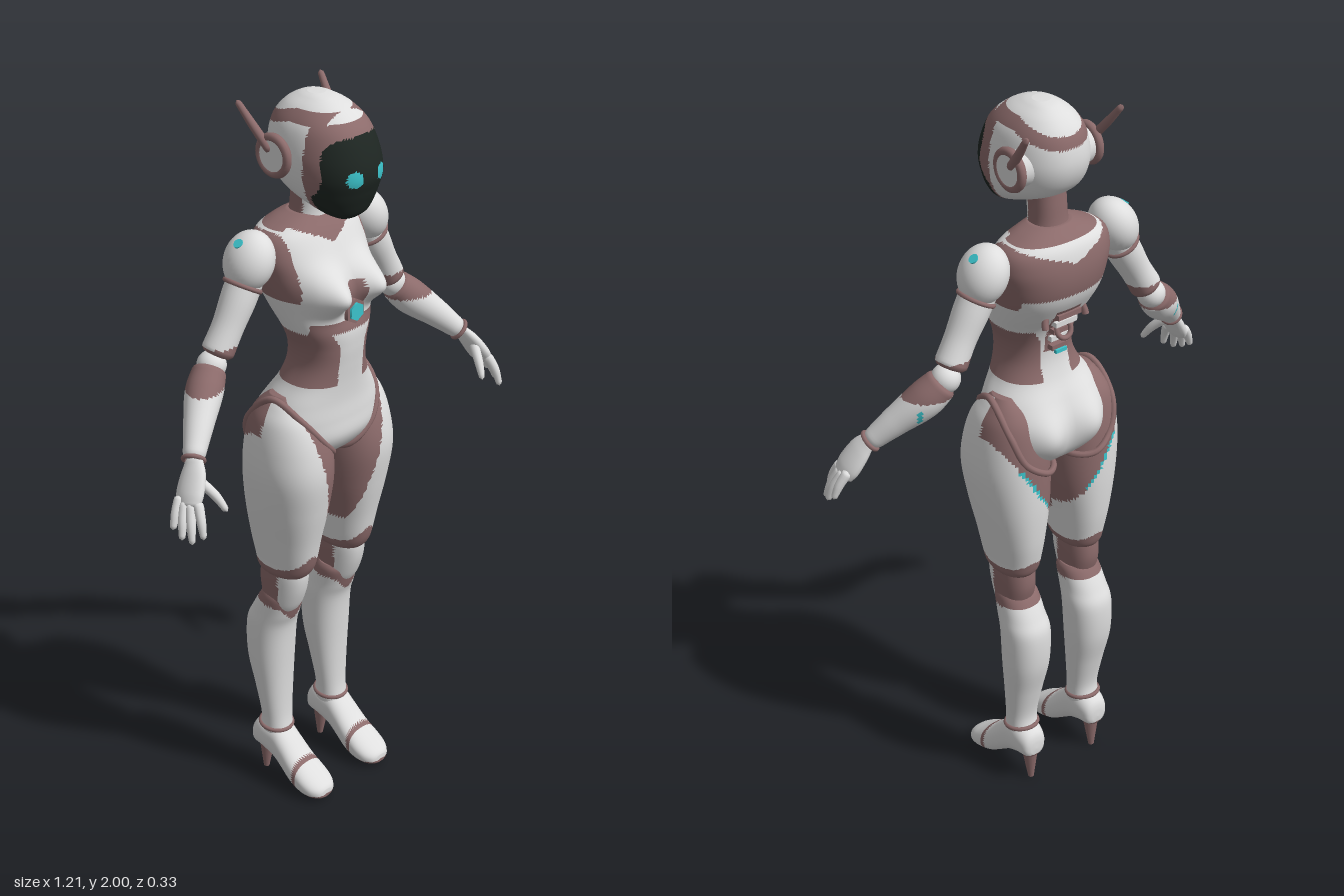
import * as THREE from 'three';

const V = (x, y, z) => new THREE.Vector3(x, y, z);
const material = (name, color) => Object.assign(new THREE.MeshStandardMaterial({ color }), { name });
const MATS = [
  material('white shell', 0xdedede), material('dusty brown', 0x8c6b6b),
  material('dark visor', 0x1e2622), material('cyan light', 0x3cc4cc),
];
const WHITE = 0, BROWN = 1, DARK = 2, CYAN = 3;
const bump = (d, w) => Math.exp(-(d * d) / (w * w));

// Closed skin of rings; paint(point) picks the material of each triangle
function skin(point, nu, nv, paint) {
  const pts = [], sets = MATS.map(() => []);
  for (let j = 0; j <= nv; j++)
    for (let i = 0; i < nu; i++) pts.push(point((i / nu) * Math.PI * 2, j / nv));
  const tri = (a, b, c) => {
    const mid = V(0, 0, 0).add(pts[a]).add(pts[b]).add(pts[c]).divideScalar(3);
    sets[typeof paint === 'function' ? paint(mid) : paint].push(a, b, c);
  };
  for (let j = 0; j < nv; j++)
    for (let i = 0; i < nu; i++) {
      const k = (i + 1) % nu, a = j * nu + i, b = j * nu + k, c = a + nu, d = b + nu;
      tri(a, c, b);
      tri(b, c, d);
    }
  const geo = new THREE.BufferGeometry().setFromPoints(pts);
  geo.setIndex(sets.flat());
  let start = 0;
  sets.forEach((s, m) => { if (s.length) geo.addGroup(start, s.length, m); start += s.length; });
  geo.computeVertexNormals();
  return geo;
}

// Smooth interpolation through rows of numbers
function sample(rows, v) {
  const n = rows.length - 1, s = v * n, i = Math.min(Math.floor(s), n - 1), t = s - i;
  const r = (k) => rows[Math.max(0, Math.min(n, k))];
  return rows[i].map((b, k) => {
    const a = r(i - 1)[k], c = r(i + 1)[k], d = r(i + 2)[k];
    return b + 0.5 * t * (c - a + t * (2 * a - 5 * b + 4 * c - d + t * (3 * (b - c) + d - a)));
  });
}

// Loft of rounded sections; row = [position, pMin, pMax, qMin, qMax]
function loft(rows, nu, nv, paint, place = (p, q, t) => V(p, t, q), power = 0.9) {
  const soft = (w) => Math.sign(w) * Math.abs(w) ** power;
  return skin((a, v) => {
    const [t, p0, p1, q0, q1] = sample(rows, v);
    const k = v === 0 || v === 1 ? 0 : 0.5;
    return place((p0 + p1) / 2 + (p1 - p0) * k * soft(Math.sin(a)),
      (q0 + q1) / 2 + (q1 - q0) * k * soft(Math.cos(a)), t);
  }, nu, nv, paint);
}

// Round-ended limb along a path of [x, y, z, radius]
function limb(path, paint, flat = 1, nu = 20, nv = 24, round = 0.08) {
  const curve = new THREE.CatmullRomCurve3(path.map((p) => V(...p)));
  return skin((a, v) => {
    const T = curve.getTangent(v), A = V(0, 0, 1).cross(T).normalize(), B = T.clone().cross(A);
    const e = Math.min(1, v / round, (1 - v) / round);
    const r = sample(path.map((p) => [p[3]]), v)[0] * Math.sqrt(Math.max(0, 1 - (1 - e) ** 2));
    return curve.getPoint(v).addScaledVector(B, r * Math.cos(a)).addScaledVector(A, r * flat * Math.sin(a));
  }, nu, nv, paint);
}

function mirrored(geo) {
  const g = geo.clone().scale(-1, 1, 1), ix = g.index.array;
  for (let i = 0; i < ix.length; i += 3) [ix[i], ix[i + 1]] = [ix[i + 1], ix[i]];
  return g;
}

export function createModel() {
  const model = new THREE.Group();
  const add = (name, geo, mat = MATS) => {
    const m = new THREE.Mesh(geo, mat);
    m.name = name;
    model.add(m);
  };
  const pair = (name, geo, mat = MATS) => {
    add(name + 'Left', geo, mat);
    add(name + 'Right', mirrored(geo), mat);
  };

  // Head with visor, eyes and side bands
  add('head', loft([
    [2, -0.02, 0.02, -0.035, 0.005], [1.992, -0.04, 0.04, -0.065, 0.04], [1.97, -0.072, 0.072, -0.1, 0.085],
    [1.93, -0.1, 0.1, -0.13, 0.13], [1.87, -0.115, 0.115, -0.141, 0.158], [1.82, -0.115, 0.115, -0.13, 0.167],
    [1.78, -0.106, 0.106, -0.1, 0.157], [1.75, -0.09, 0.09, -0.045, 0.146], [1.72, -0.062, 0.062, 0.03, 0.132],
    [1.705, -0.035, 0.035, 0.07, 0.115]], 96, 90, (p) => {
    const x = Math.abs(p.x), frame = (w, h) => (x / w) ** 4 + ((p.y - 1.81) / h) ** 4 < 1;
    if (p.z > 0.06 && frame(0.102, 0.113)) {
      return Math.hypot(x - 0.045, p.y - 1.825) < 0.021 ? CYAN : DARK;
    }
    if (p.z > 0.045 && frame(0.125, 0.143)) return BROWN;
    return p.z < 0.08 && Math.abs(p.y - 1.958 + 0.3 * Math.max(0, -p.z - 0.02)) < 0.014 ? BROWN : WHITE;
  }));
  const ear = (r0, r1, h, x) => new THREE.CylinderGeometry(r0, r1, h, 32).rotateZ(-Math.PI / 2).translate(x, 1.857, -0.045);
  pair('earPad', ear(0.042, 0.052, 0.045, 0.108), MATS[WHITE]);
  pair('earRing', new THREE.TorusGeometry(0.046, 0.012, 10, 36).rotateY(Math.PI / 2).translate(0.121, 1.857, -0.045), MATS[BROWN]);
  pair('antenna', limb([[0.124, 1.865, -0.05, 0.012], [0.136, 1.925, -0.1, 0.011], [0.148, 1.982, -0.143, 0.008]], BROWN));
  add('neck', loft([[1.79, -0.05, 0.05, -0.08, 0.02], [1.74, -0.048, 0.048, -0.085, 0.012],
    [1.69, -0.05, 0.05, -0.09, 0.008], [1.65, -0.06, 0.06, -0.1, 0.012]], 40, 20, (p) => (p.z < -0.02 ? BROWN : WHITE)));

  // Torso and pelvis
  const torsoRows = [
    [1.69, 0.05, -0.09, 0], [1.672, 0.1, -0.12, 0.015], [1.645, 0.15, -0.145, 0.035], [1.6, 0.165, -0.157, 0.06],
    [1.55, 0.16, -0.157, 0.083], [1.5, 0.15, -0.145, 0.095], [1.45, 0.135, -0.118, 0.1], [1.4, 0.118, -0.088, 0.115],
    [1.35, 0.1, -0.075, 0.115], [1.3, 0.1, -0.075, 0.11], [1.25, 0.12, -0.088, 0.105], [1.2, 0.153, -0.11, 0.103],
    [1.15, 0.173, -0.125, 0.106], [1.1, 0.168, -0.13, 0.107], [1.06, 0.15, -0.125, 0.085], [1.03, 0.12, -0.11, 0.05],
    [1.01, 0.07, -0.09, 0.01]].map(([y, w, b, f]) => [y, -w, w, b, f]);
  const torsoPaint = (p) => {
    const x = Math.abs(p.x), { y, z } = p;
    if (y < 1.25) return WHITE;
    if (y < 1.4) return x > 0.045 + 0.6 * Math.max(0, y - 1.36) || (z < 0 && x < 0.035 && y > 1.33) ? BROWN : WHITE;
    if (x > 0.13 && y > 1.49 && y < 1.655) return BROWN;
    if (z > -0.02) {
      const collar = y > 1.622 + 0.45 * x;
      const sternum = x < 0.03 && y < 1.53;
      const underBust = y < 1.428 && x < 0.11;
      return collar || sternum || underBust ? BROWN : WHITE;
    }
    if (y > 1.66 || (x < 0.04 && y < 1.47)) return BROWN;
    return y > 1.52 && y < 1.61 + 0.35 * x ? BROWN : WHITE;
  };
  add('torso', loft(torsoRows, 108, 120, torsoPaint, (x, z, y) => {
    const ax = Math.abs(x), bust = 0.072 * bump(ax - 0.07, 0.05) * bump(y - 1.508, 0.05);
    const seat = 0.036 * bump(ax - 0.075, 0.06) * bump(y - 1.115, 0.07);
    const front = Math.min(1, Math.max(0, z / 0.06)), back = Math.min(1, Math.max(0, (-z - 0.03) / 0.06));
    return V(x, y, z + bust * front - seat * back);
  }, 0.87));
  const hex = (r, h, z) => new THREE.CylinderGeometry(r, r, h, 6).rotateX(Math.PI / 2).translate(0, 1.45, z);
  add('chestGemMount', hex(0.034, 0.035, 0.102), MATS[BROWN]);
  add('chestGem', hex(0.025, 0.012, 0.119), MATS[CYAN]);

  // Exposed spine
  for (let i = 0; i < 5; i++) {
    const y = 1.345 + i * 0.027, z = -0.076 - Math.max(0, i - 1) * 0.013;
    add('vertebra', new THREE.BoxGeometry(0.05 + 0.006 * i, 0.014, 0.03).translate(0, y, z), MATS[i % 2 ? WHITE : BROWN]);
  }
  add('spineRing', new THREE.TorusGeometry(0.022, 0.007, 10, 24).rotateX(0.35).translate(0, 1.4, -0.106), MATS[BROWN]);
  add('spineLight', new THREE.BoxGeometry(0.035, 0.01, 0.009).translate(0, 1.335, -0.093), MATS[CYAN]);
  add('spineArch', new THREE.TorusGeometry(0.065, 0.009, 10, 28, Math.PI).rotateX(0.3).translate(0, 1.425, -0.113), MATS[BROWN]);

  // Legs
  const backEdge = (y) => 0.03 + (y - 0.84) * 0.62;
  pair('thigh', loft([
    [1.222, 0.1, 0.15, -0.05, 0.01], [1.19, 0.06, 0.175, -0.09, 0.05], [1.15, 0.035, 0.197, -0.115, 0.082],
    [1.08, 0.014, 0.213, -0.13, 0.106], [1, 0.01, 0.218, -0.136, 0.115], [0.9, 0.018, 0.205, -0.137, 0.101],
    [0.8, 0.035, 0.185, -0.13, 0.08], [0.73, 0.045, 0.172, -0.118, 0.066], [0.7, 0.05, 0.168, -0.11, 0.054],
    [0.685, 0.06, 0.16, -0.1, 0.042]], 72, 80, (p) => {
    if (p.y < 0.712 + 0.045 * bump(p.x - 0.11, 0.04) * (p.z > 0 ? 1 : 0.5)) return BROWN;
    if (p.z < -0.02) {
      if (p.y > 0.9 && p.y < 1.04 && Math.abs(p.x - backEdge(p.y)) < 0.005) return CYAN;
      return p.x < backEdge(p.y) ? BROWN : WHITE;
    }
    return p.y > 0.8 && p.x < 0.05 + (p.y - 0.8) * 0.25 ? BROWN : WHITE;
  }));
  const rim = [[0.03, 1.04, 0.066], [0.09, 1.1, 0.093], [0.14, 1.17, 0.062], [0.165, 1.215, -0.015],
    [0.168, 1.14, -0.1], [0.14, 1.06, -0.13], [0.08, 1.02, -0.143], [0.03, 1.015, -0.1]].map((p) => V(...p));
  pair('hipRim', new THREE.TubeGeometry(new THREE.CatmullRomCurve3(rim, true), 80, 0.009, 8, true), MATS[BROWN]);
  pair('knee', loft([[0.73, 0.065, 0.155, -0.09, 0.03], [0.69, 0.06, 0.16, -0.1, 0.042], [0.64, 0.06, 0.16, -0.102, 0.036],
    [0.59, 0.063, 0.157, -0.09, 0.018], [0.56, 0.07, 0.15, -0.08, 0]], 40, 24, (p) => (p.z > -0.012 ? WHITE : BROWN)));
  pair('shin', loft([
    [0.618, 0.06, 0.155, -0.085, 0], [0.6, 0.05, 0.163, -0.1, 0.012], [0.55, 0.047, 0.168, -0.128, 0],
    [0.5, 0.042, 0.173, -0.148, -0.016], [0.4, 0.045, 0.172, -0.146, -0.024], [0.3, 0.055, 0.162, -0.122, -0.028],
    [0.21, 0.065, 0.153, -0.104, -0.028], [0.16, 0.067, 0.152, -0.112, -0.022], [0.14, 0.07, 0.15, -0.11, -0.02]],
  48, 48, (p) => (p.y > 0.585 - 0.05 * bump(p.x - 0.108, 0.035) * (p.z > -0.06 ? 1 : 0) ? BROWN : WHITE)));
  pair('ankleRing', new THREE.TorusGeometry(0.044, 0.006, 8, 32).rotateX(Math.PI / 2 + 0.12).translate(0.11, 0.172, -0.067), MATS[BROWN]);

  // High-heeled feet, lofted from heel to toe
  const foot = [[-0.135, 0.015, 0.1, 0.13], [-0.125, 0.035, 0.085, 0.162], [-0.09, 0.045, 0.082, 0.183],
    [-0.045, 0.045, 0.064, 0.178], [-0.01, 0.047, 0.04, 0.148], [0.03, 0.051, 0.014, 0.108], [0.07, 0.053, 0.005, 0.078],
    [0.1, 0.047, 0.004, 0.058], [0.12, 0.032, 0.007, 0.043], [0.127, 0.015, 0.012, 0.032]];
  const footPaint = ({ y, z }) => {
    const sole = z > 0.03 ? 0.02 : 0.02 + (0.03 - z) * 0.62;
    return y < Math.min(sole, 0.096) || Math.abs(z - 0.045) < 0.007 ? BROWN : WHITE;
  };
  pair('foot', loft(foot.map(([z, w, b, t]) => [z, 0.111 - w, 0.111 + w, b, t]), 48, 44, footPaint, (x, y, z) => V(x, y, z), 0.85));
  pair('heel', new THREE.CylinderGeometry(0.026, 0.008, 0.115, 16).rotateX(0.05).translate(0.11, 0.0578, -0.105), MATS[BROWN]);

  // Arms
  const tilt = 0.45;
  pair('shoulder', new THREE.SphereGeometry(1, 32, 24).scale(0.06, 0.078, 0.068).rotateZ(tilt).translate(0.208, 1.605, -0.048), MATS[WHITE]);
  pair('shoulderLight', new THREE.CylinderGeometry(0.013, 0.013, 0.008, 12).rotateZ(-0.65).translate(0.239, 1.658, -0.052), MATS[CYAN]);
  pair('shoulderCuff', new THREE.TorusGeometry(0.047, 0.006, 8, 32).rotateX(Math.PI / 2).rotateZ(0.53).translate(0.232, 1.546, -0.048), MATS[BROWN]);
  pair('upperArm', limb([[0.2, 1.6, -0.048, 0.046], [0.245, 1.52, -0.048, 0.046], [0.285, 1.45, -0.05, 0.041],
    [0.325, 1.38, -0.055, 0.043]], (p) => (p.y < 1.412 ? BROWN : WHITE), 1, 24, 32));
  pair('elbow', new THREE.SphereGeometry(0.038, 24, 16).translate(0.336, 1.363, -0.057), MATS[WHITE]);
  pair('forearm', limb([[0.338, 1.36, -0.058, 0.042], [0.385, 1.312, -0.035, 0.048], [0.445, 1.255, 0.004, 0.038],
    [0.505, 1.193, 0.045, 0.027]], (p) => {
    if (p.y > 1.322) return BROWN;
    return Math.abs(p.y - 1.285) < 0.02 && Math.abs(p.x - 0.422) < 0.006 && p.z < -0.02 ? CYAN : WHITE;
  }, 1, 28, 36));
  pair('wristRing', new THREE.TorusGeometry(0.026, 0.006, 8, 24)
    .applyQuaternion(new THREE.Quaternion().setFromUnitVectors(V(0, 0, 1), V(0.62, -0.64, 0.43).normalize()))
    .translate(0.5, 1.198, 0.042), MATS[BROWN]);

  // Hands
  pair('palm', limb([[0.498, 1.205, 0.042, 0.024], [0.52, 1.17, 0.06, 0.037], [0.545, 1.13, 0.073, 0.041],
    [0.561, 1.102, 0.083, 0.034]], WHITE, 0.5));
  const fingers = [
    ['indexFinger', [0.548, 1.125, 0.103], [0.56, 1.08, 0.126], [0.565, 1.036, 0.139]],
    ['middleFinger', [0.556, 1.12, 0.088], [0.578, 1.07, 0.109], [0.588, 1.025, 0.122]],
    ['ringFinger', [0.56, 1.12, 0.071], [0.586, 1.075, 0.088], [0.599, 1.033, 0.097]],
    ['littleFinger', [0.56, 1.128, 0.054], [0.586, 1.088, 0.063], [0.601, 1.052, 0.068]],
    ['thumb', [0.522, 1.165, 0.075], [0.5, 1.125, 0.115], [0.486, 1.084, 0.142]]];
  for (const [name, a, b, c] of fingers)
    pair(name, limb([[...a, 0.0135], [...b, 0.012], [...c, 0.008]], WHITE, 1, 12, 14, 0.12));

  return model;
}
